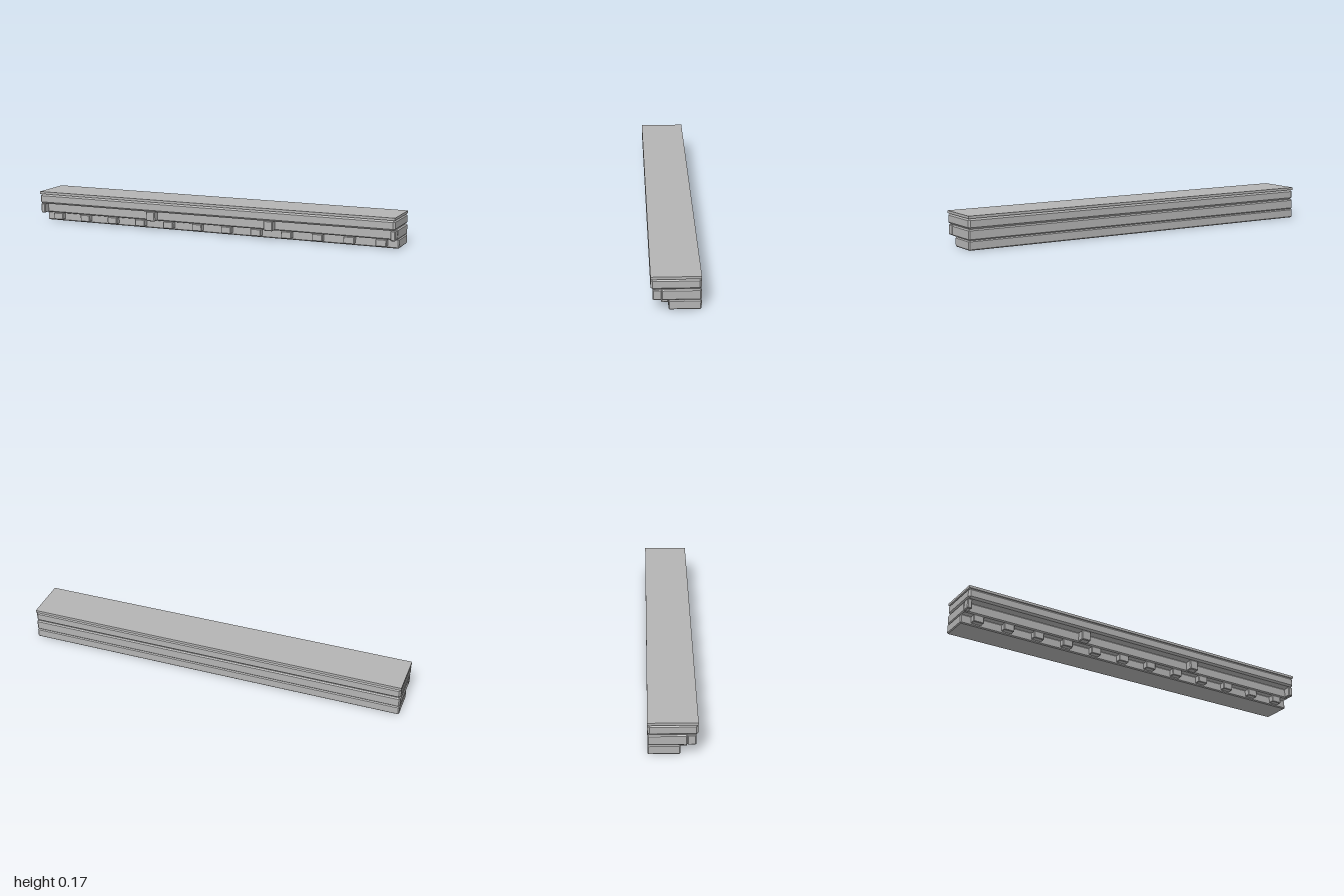
import * as THREE from 'three';
import { ConvexGeometry } from 'three/addons/geometries/ConvexGeometry.js';

// Box with every edge and corner cut at 45 degrees
function chamferBox(w, h, d, c) {
  const points = [];
  for (const sx of [-1, 1]) for (const sy of [-1, 1]) for (const sz of [-1, 1]) {
    const x = w / 2, y = h / 2, z = d / 2;
    points.push(
      new THREE.Vector3(sx * x, sy * (y - c), sz * (z - c)),
      new THREE.Vector3(sx * (x - c), sy * y, sz * (z - c)),
      new THREE.Vector3(sx * (x - c), sy * (y - c), sz * z));
  }
  return new ConvexGeometry(points);
}

export function createModel() {
  const model = new THREE.Group();
  model.name = 'cornice';
  const stone = new THREE.MeshStandardMaterial({ color: 0xb4b4b4 });
  stone.name = 'grey stone';

  // Adds a block from its extents; a chamfer of 0 gives a plain box
  function block(name, [x0, x1], [y0, y1], [z0, z1], chamfer, parent = model) {
    const w = x1 - x0, h = y1 - y0, d = z1 - z0;
    const geometry = chamfer ? chamferBox(w, h, d, chamfer) : new THREE.BoxGeometry(w, h, d);
    const mesh = new THREE.Mesh(geometry, stone);
    mesh.name = name;
    mesh.position.set((x0 + x1) / 2, (y0 + y1) / 2, (z0 + z1) / 2);
    parent.add(mesh);
  }

  // Stacked full-length courses, flush at the back and stepping out in front
  const back = -0.117, full = [-1, 1];
  block('lowerCourse', full, [0, 0.048], [back, 0.035], 0.005);
  block('middleCourse', full, [0.048, 0.102], [back, 0.068], 0.006);
  block('upperCourse', full, [0.102, 0.155], [back, 0.117], 0.0095);
  block('capSlab', full, [0.155, 0.168], [back, 0.117], 0);

  // Row of small dentils under the middle course
  const dentils = new THREE.Group();
  dentils.name = 'dentils';
  model.add(dentils);
  for (let i = 0; i < 12; i++) {
    const x = -11 / 12 + i / 6;
    block('dentil', [x - 0.028, x + 0.028], [0.01, 0.047], [0.034, 0.067], 0.003, dentils);
  }

  // Brackets under the upper course, with half brackets at both ends
  const brackets = new THREE.Group();
  brackets.name = 'brackets';
  model.add(brackets);
  for (const x of [-1, -1 / 3, 1 / 3, 1]) {
    const span = [Math.max(-1, x - 0.025), Math.min(1, x + 0.025)];
    block('bracket', span, [0.05, 0.102], [0.066, 0.107], 0.004, brackets);
  }
  return model;
}
